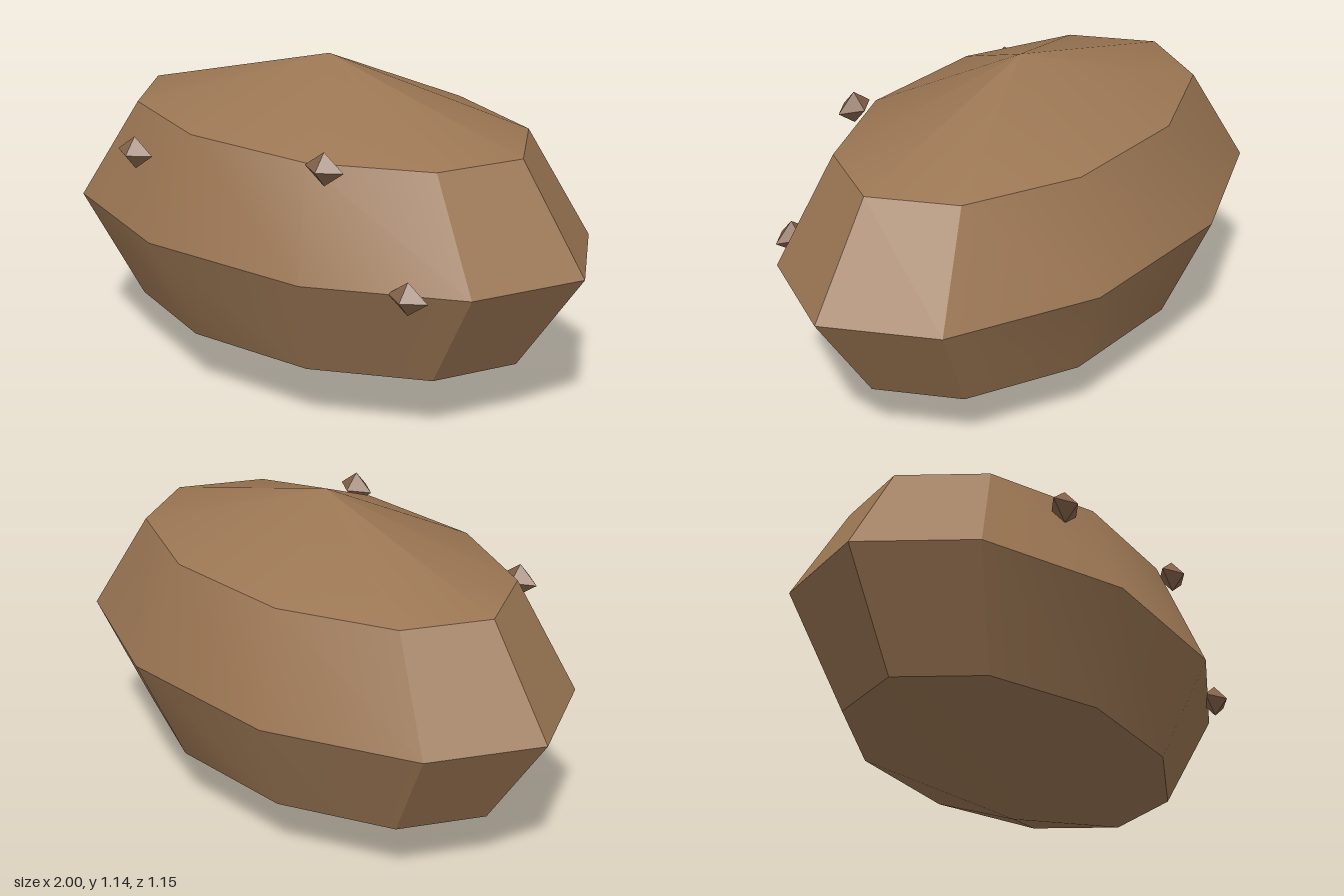
import * as THREE from 'three';
import { toCreasedNormals } from 'three/addons/utils/BufferGeometryUtils.js';

export function createModel() {
  const model = new THREE.Group();
  model.name = 'potato';

  const skin = new THREE.MeshStandardMaterial({ color: 0x9b7653 });
  skin.name = 'brown skin';
  const sprout = new THREE.MeshStandardMaterial({ color: 0x86644b });
  sprout.name = 'dark brown eye';

  // Body: ten-sided turned profile, flattened front to back
  const profile = [[0, 0.005], [0.76, 0.22], [1, 0.575], [0.76, 0.928], [0, 1.143]]
    .map(([r, y]) => new THREE.Vector2(r, y));
  const lathe = new THREE.LatheGeometry(profile, 10, Math.PI / 2);
  lathe.scale(1, 1, 0.607);
  const body = new THREE.Mesh(toCreasedNormals(lathe, Math.PI / 6), skin);
  body.name = 'body';
  model.add(body);

  // Eyes: small faceted buds set into the front
  const bud = new THREE.OctahedronGeometry(1).scale(0.075, 0.056, 0.048);
  [[-0.465, 0.825], [0.32, 0.93], [0.64, 0.575]].forEach(([x, y], i) => {
    const eye = new THREE.Mesh(bud, sprout);
    eye.name = `eye${i + 1}`;
    eye.position.set(x, y, 0.457);
    model.add(eye);
  });

  return model;
}
